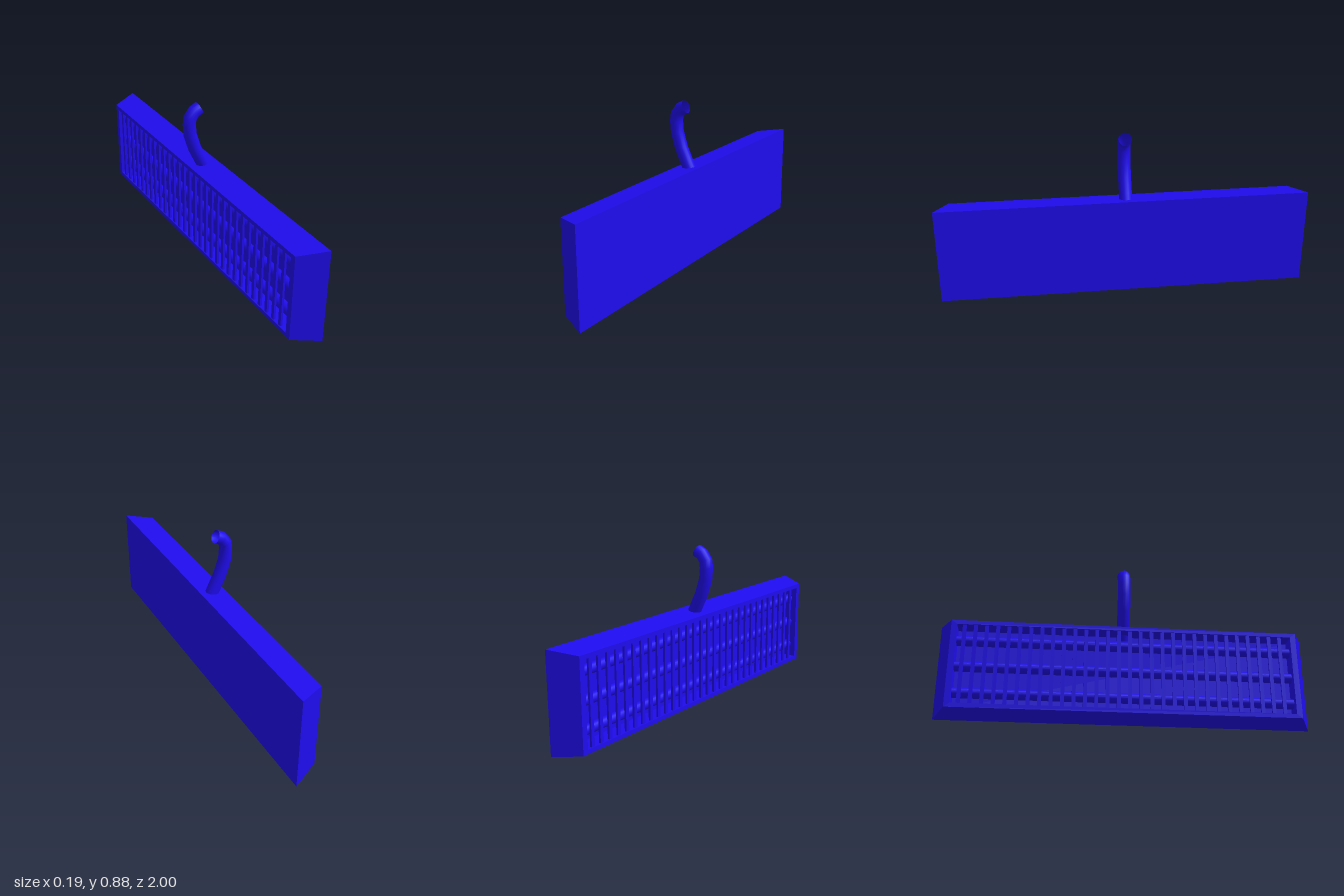
import * as THREE from 'three';

const material = new THREE.MeshStandardMaterial({ color: 0x1f0cee, side: THREE.DoubleSide });
const CY = 0.265; // height of the panel's centre line

function addMesh(group, geometry, name, x = 0, y = 0, z = 0) {
  const mesh = new THREE.Mesh(geometry, material);
  mesh.name = name;
  mesh.position.set(x, y, z);
  group.add(mesh);
  return mesh;
}

// Skin a chain of rectangles [x, half height, half length], closed at both ends
function rectangleLoft(sections) {
  const rings = sections.map(([x, h, l]) =>
    [[-h, -l], [-h, l], [h, l], [h, -l]].map(([y, z]) => [x, y, z]));
  const positions = [];
  const quad = (a, b, c, d) => positions.push(...a, ...b, ...c, ...a, ...c, ...d);
  for (let i = 0; i < rings.length - 1; i++) {
    for (let j = 0; j < 4; j++) {
      const k = (j + 1) % 4;
      quad(rings[i][j], rings[i + 1][j], rings[i + 1][k], rings[i][k]);
    }
  }
  const first = rings[0];
  const last = rings[rings.length - 1];
  quad(first[0], first[1], first[2], first[3]);
  quad(last[0], last[1], last[2], last[3]);
  // Both caps and the sides must face outwards: the first cap looks to +x
  const geometry = new THREE.BufferGeometry();
  const start = positions.length - 36;
  const firstCap = [first[0], first[2], first[1], first[0], first[3], first[2]].flat();
  const lastCap = [last[0], last[2], last[1], last[0], last[3], last[2]].flat();
  positions.splice(start, 36, ...firstCap, ...lastCap);
  // The open recess floor looks to -x
  if (last[0][0] < first[0][0]) {
    const floor = [last[0], last[1], last[2], last[0], last[2], last[3]].flat();
    positions.splice(positions.length - 18, 18, ...floor);
  }
  geometry.setAttribute('position', new THREE.Float32BufferAttribute(positions, 3));
  geometry.computeVertexNormals();
  return geometry;
}

export function createModel() {
  const model = new THREE.Group();
  model.name = 'heaterPanel';

  // Tapered housing with a rimmed recess on its narrow side
  addMesh(model, rectangleLoft([
    [0.093, 0.265, 1],
    [-0.055, 0.245, 0.93],
    [-0.055, 0.222, 0.9],
    [0.035, 0.222, 0.9],
  ]), 'housing', 0, CY, 0);

  // Horizontal heating tubes inside the recess
  const tube = new THREE.CylinderGeometry(0.027, 0.027, 1.8, 16).rotateX(Math.PI / 2);
  for (const row of [-1, 0, 1]) addMesh(model, tube, 'heatingTube', 0, CY + row * 0.148, 0);

  // Vertical guard slats across the opening
  const slat = new THREE.BoxGeometry(0.012, 0.444, 0.02);
  const count = 30;
  for (let i = 0; i < count; i++) {
    addMesh(model, slat, 'guardSlat', -0.044, CY, -0.86 + (1.7 * i) / (count - 1));
  }

  // Bent, open-ended pipe rising from the top
  const path = new THREE.CatmullRomCurve3([
    [0.045, 0.47], [0.012, 0.54], [-0.026, 0.62], [-0.053, 0.705],
    [-0.058, 0.765], [-0.054, 0.802], [-0.029, 0.835], [0.002, 0.849],
  ].map(([x, y]) => new THREE.Vector3(x, y, -0.012)));
  // Step from point to point so the bends stay faceted
  path.getPointAt = (t, target) => path.getPoint(t, target);
  path.getTangentAt = (t, target) => path.getTangent(t, target);
  addMesh(model, new THREE.TubeGeometry(path, 7, 0.035, 20), 'pipe');

  return model;
}
